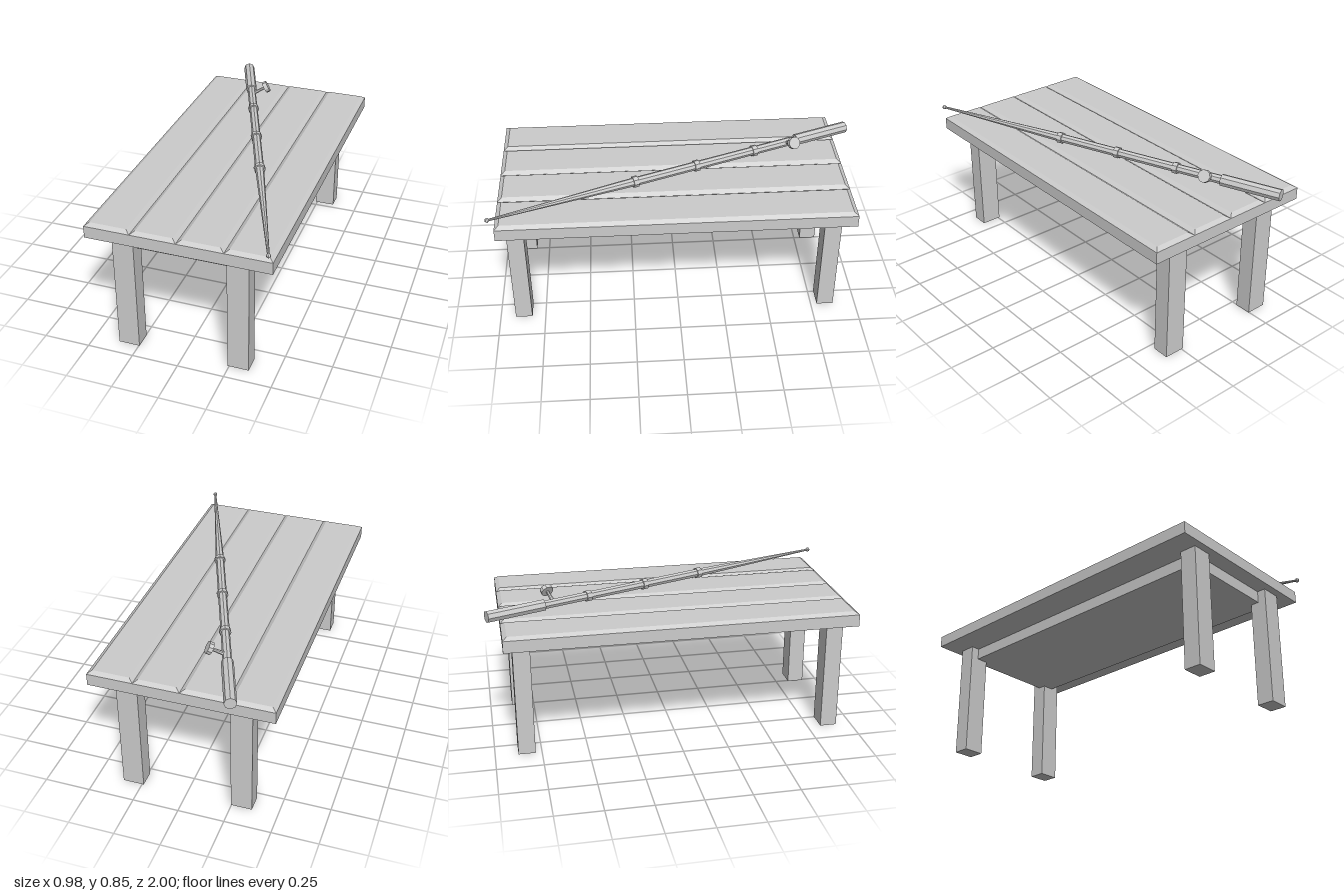
import * as THREE from 'three';

const mat = new THREE.MeshStandardMaterial({ color: 0xcccccc, flatShading: true });

function add(parent, name, geometry, x = 0, y = 0, z = 0) {
  const mesh = new THREE.Mesh(geometry, mat);
  mesh.name = name;
  mesh.position.set(x, y, z);
  parent.add(mesh);
  return mesh;
}

// Board whose upper edges are chamfered on all four sides
function plankGeometry(w, h, d, bevelH, inset) {
  const geo = new THREE.BoxGeometry(w, h, d, 1, 2, 1);
  const p = geo.attributes.position;
  for (let i = 0; i < p.count; i++) {
    const y = p.getY(i);
    if (Math.abs(y) < 1e-6) p.setY(i, h / 2 - bevelH);
    else if (y > 0) {
      p.setX(i, p.getX(i) - Math.sign(p.getX(i)) * inset);
      p.setZ(i, p.getZ(i) - Math.sign(p.getZ(i)) * inset);
    }
  }
  geo.computeVertexNormals();
  return geo;
}

function createTable() {
  const table = new THREE.Group();
  table.name = 'table';
  // Four planks side by side
  const edges = [-0.49, -0.247, -0.004, 0.241, 0.485];
  for (let i = 0; i < 4; i++) {
    const w = edges[i + 1] - edges[i];
    add(table, 'plank', plankGeometry(w, 0.08, 1.88, 0.015, 0.023), edges[i] + w / 2, 0.69, 0.015);
  }
  // Solid block under the top
  add(table, 'apron', new THREE.BoxGeometry(0.62, 0.066, 1.7), -0.003, 0.618, 0.02);
  // Legs
  for (const x of [-0.304, 0.298])
    for (const z of [-0.83, 0.87])
      add(table, 'leg', new THREE.BoxGeometry(0.114, 0.65, 0.092), x, 0.325, z);
  return table;
}

// Eight-sided bar along z from z0 (radius r0) to z1 (radius r1)
function bar(parent, name, z0, z1, r0, r1) {
  const geo = new THREE.CylinderGeometry(r1, r0, z1 - z0, 8).rotateX(Math.PI / 2);
  return add(parent, name, geo, 0, 0, (z0 + z1) / 2);
}

function createRod() {
  const rod = new THREE.Group();
  rod.name = 'fishingRod';
  bar(rod, 'rodHandle', -1.06, -0.735, 0.032, 0.032);
  bar(rod, 'rodShaft', -0.74, 0.24, 0.024, 0.024);
  bar(rod, 'rodTaper', 0.24, 1.055, 0.024, 0.006);
  for (const z of [-0.472, -0.118, 0.242]) bar(rod, 'rodRing', z - 0.014, z + 0.014, 0.031, 0.031);
  add(rod, 'rodTip', new THREE.SphereGeometry(0.012, 8, 6), 0, 0, 1.055);

  // Reel on a short stem, leaning up and out from the shaft
  const reel = new THREE.Group();
  reel.name = 'reel';
  add(reel, 'reelStem', new THREE.CylinderGeometry(0.008, 0.012, 0.09, 8), 0, 0.045, 0);
  add(reel, 'reelDisc', new THREE.CylinderGeometry(0.034, 0.034, 0.024, 10), 0, 0.097, 0);
  reel.position.set(0, 0, -0.675);
  reel.rotation.z = -1.08;
  rod.add(reel);

  rod.position.set(0.093, 0.773, -0.002);
  rod.rotation.y = 0.366;
  return rod;
}

export function createModel() {
  const model = new THREE.Group();
  model.name = 'tableWithFishingRod';
  model.add(createTable(), createRod());
  return model;
}
